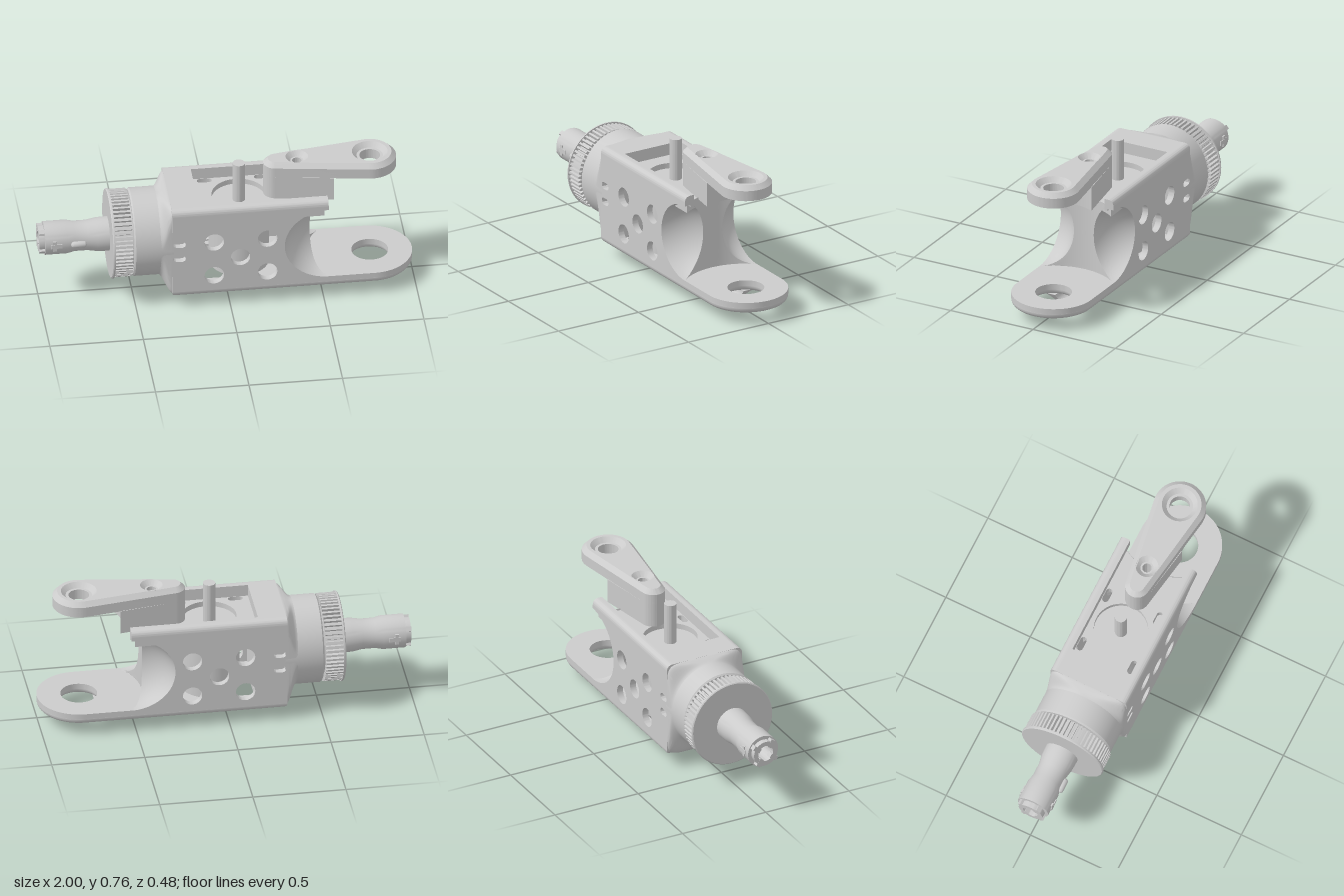
import * as THREE from 'three';
import { toCreasedNormals } from 'three/addons/utils/BufferGeometryUtils.js';

const mat = new THREE.MeshStandardMaterial({ color: 0xcccccc, side: THREE.DoubleSide });
const PIVOT = 0.775, AXIS_Y = 0.355, W = 0.225;

function createModel() {
  const model = new THREE.Group();

  const add = (name, geo) => {
    const mesh = new THREE.Mesh(toCreasedNormals(geo, 0.6), mat);
    mesh.name = name;
    model.add(mesh);
    return mesh;
  };
  const box = (name, x0, x1, y0, y1, z0, z1) => add(name, new THREE.BoxGeometry(x1 - x0, y1 - y0, z1 - z0)
    .translate((x0 + x1) / 2, (y0 + y1) / 2, (z0 + z1) / 2));
  const poly = (pts) => new THREE.Shape(pts.map((p) => new THREE.Vector2(...p)));
  const circle = (x, y, r) => new THREE.Path().absarc(x, y, r, 0, Math.PI * 2, true);
  const slot = (x, y, w, h) => {
    const r = h / 2, d = w / 2 - r, p = new THREE.Path();
    p.absarc(x + d, y, r, -Math.PI / 2, Math.PI / 2);
    p.absarc(x - d, y, r, Math.PI / 2, Math.PI * 1.5);
    return p.closePath();
  };
  // Flat slab drawn in x/z, with optional rounded or chamfered edges
  const slab = (name, shape, y0, y1, bevel = 0, steps = 1) => add(name, new THREE.ExtrudeGeometry(shape, {
    depth: y1 - y0 - 2 * bevel, curveSegments: 32, bevelEnabled: bevel > 0,
    bevelThickness: bevel, bevelSize: bevel, bevelOffset: -bevel, bevelSegments: steps,
  }).rotateX(Math.PI / 2).translate(0, y1 - bevel, 0));
  // Profile drawn in z/y, swept along x
  const sweepX = (name, shape, x0, x1) => add(name, new THREE.ExtrudeGeometry(shape, {
    depth: x1 - x0, bevelEnabled: false, curveSegments: 24,
  }).rotateY(Math.PI / 2).translate(x0, 0, 0));
  // Turned part about the long axis, points as [radius, x]
  const turned = (name, pts, seg = 64) => add(name, new THREE.LatheGeometry(
    pts.map((p) => new THREE.Vector2(...p)), seg).rotateZ(-Math.PI / 2).translate(0, AXIS_Y, 0));

  // Surface through rows of points
  const loft = (name, rows) => {
    const n = rows[0].length, index = [];
    for (let i = 0; i < rows.length - 1; i++) for (let j = 0; j < n - 1; j++) {
      const a = i * n + j, b = a + n;
      index.push(a, b, a + 1, b, b + 1, a + 1);
    }
    const geo = new THREE.BufferGeometry();
    geo.setAttribute('position', new THREE.Float32BufferAttribute(rows.flat(2), 3));
    geo.setIndex(index);
    return add(name, geo);
  };

  // Concave fork end with a scoop on each side
  const R = 0.335, scoopY = (t) => 0.3425 + 0.2125 * Math.cos(t);
  const endX = (z) => PIVOT - Math.sqrt(R * R - z * z);
  const rimX = (t) => endX(W) - 0.235 * Math.sin(t);
  const rows = [];
  for (let i = 0; i <= 40; i++) {
    const t = Math.PI * i / 40, zb = W - 0.165 * Math.sin(t), half = [];
    const a = [rimX(t), W], b = [endX(zb), zb];
    const c = [(a[0] * 3 + b[0]) / 4, (b[1] * 3 + a[1]) / 4];
    for (let k = 0; k <= 14; k++) {
      const u = k / 14, q = [0, 1].map((m) => (1 - u) ** 2 * a[m] + 2 * u * (1 - u) * c[m] + u * u * b[m]);
      half.push([q[0], scoopY(t), q[1]]);
    }
    for (let k = 1; k <= 6; k++) {
      const z = zb * (1 - k / 6);
      half.push([endX(z), scoopY(t), z]);
    }
    const mirrored = half.slice(0, -1).reverse().map(([x, y, z]) => [x, y, -z]);
    rows.push([...half, ...mirrored]);
  }
  loft('scoopedEnd', rows);

  // Side walls with round holes, slots and the scoop outline
  const outline = [[-0.31, 0.1], [endX(W), 0.1]];
  for (let i = 40; i >= 0; i--) outline.push([rimX(Math.PI * i / 40), scoopY(Math.PI * i / 40)]);
  outline.push([endX(W), 0.575], [-0.31, 0.575]);
  const wall = poly(outline);
  for (const [x, y] of [[-0.085, 0.4], [0.2, 0.4], [0.055, 0.295], [-0.085, 0.19], [0.2, 0.19]])
    wall.holes.push(circle(x, y, 0.052));
  for (const y of [0.4, 0.31]) wall.holes.push(slot(-0.27, y, 0.066, 0.038));
  for (const s of [1, -1]) {
    add('sideWall', new THREE.ExtrudeGeometry(wall, { depth: 0.035, bevelEnabled: false, curveSegments: 24 })
      .translate(0, 0, s > 0 ? 0.19 : -W));
    // Rounded top rail
    const rail = new THREE.Shape();
    rail.moveTo(s * 0.17, 0.545);
    rail.lineTo(s * 0.19, 0.545);
    rail.lineTo(s * 0.19, 0.575);
    rail.lineTo(s * W, 0.575);
    rail.quadraticCurveTo(s * W, 0.61, s * 0.19, 0.61);
    rail.lineTo(s * 0.17, 0.61);
    sweepX('topRail', rail, -0.31, endX(W));
  }

  // Recessed deck, round seat and gearbox
  const deck = new THREE.Shape();
  deck.moveTo(-0.17, -0.2);
  deck.lineTo(endX(0.2), -0.2);
  const da = Math.asin(0.2 / R);
  deck.absarc(PIVOT, 0, R, Math.PI + da, Math.PI - da, true);
  deck.lineTo(-0.17, 0.2);
  deck.holes.push(circle(0.075, 0, 0.145));
  for (const z of [-0.15, 0.15]) for (const x of [-0.09, 0.215]) deck.holes.push(slot(x, z, 0.08, 0.035));
  slab('deck', deck, 0.505, 0.545);
  add('gearbox', new THREE.CylinderGeometry(0.16, 0.16, 0.385, 48).translate(0.075, 0.3225, 0));
  add('pin', new THREE.CylinderGeometry(0.033, 0.033, 0.25, 32).translate(0.075, 0.62, 0));
  box('endBlock', -0.31, -0.16, 0.1, 0.61, -0.19, 0.19);

  // Lower arm and floor
  const lowerArm = (hole) => {
    const s = new THREE.Shape();
    s.moveTo(-0.31, -W);
    s.lineTo(PIVOT, -W);
    s.absarc(PIVOT, 0, W, -Math.PI / 2, Math.PI / 2);
    s.lineTo(-0.31, W);
    s.closePath();
    s.holes.push(circle(PIVOT, 0, hole),
      poly([[-0.15, -0.16], [-0.15, 0.16], [0.06, 0.16], [0.06, -0.16]]));
    return s;
  };
  slab('lowerArm', lowerArm(0.1), 0.067, 0.13, 0.03, 5);
  slab('lowerArmTop', lowerArm(0.098), 0.098, 0.1305);

  // Half-round cable guide underneath
  const guide = new THREE.Shape();
  guide.moveTo(-0.115, 0.07);
  guide.quadraticCurveTo(-0.08, 0.065, -0.055, 0.035);
  guide.quadraticCurveTo(-0.03, 0, 0, 0);
  guide.quadraticCurveTo(0.03, 0, 0.055, 0.035);
  guide.quadraticCurveTo(0.08, 0.065, 0.115, 0.07);
  guide.lineTo(0.04, 0.07);
  guide.absarc(0, 0.067, 0.04, 0, Math.PI, true);
  const guideGeo = sweepX('cableGuide', guide, 0.27, 0.69).geometry, gp = guideGeo.attributes.position;
  for (let i = 0; i < gp.count; i++)
    if (gp.getX(i) > 0.5) gp.setX(i, 0.645 + 0.045 * gp.getY(i) / 0.07);
  guideGeo.computeVertexNormals();

  // Upper arm: teardrop head on a pedestal
  const headR = 0.14, tipX = 0.27, tipR = 0.065;
  const lean = Math.acos((headR - tipR) / (PIVOT - tipX));
  const teardrop = (bore, smallBore) => {
    const s = new THREE.Shape();
    s.absarc(PIVOT, 0, headR, -Math.PI + lean, Math.PI - lean);
    s.absarc(tipX, 0, tipR, Math.PI - lean, Math.PI + lean);
    s.closePath();
    s.holes.push(circle(PIVOT, 0, bore), circle(0.385, 0, smallBore));
    return s;
  };
  slab('upperArm', teardrop(0.07, 0.035), 0.68, 0.76, 0.025);
  slab('upperArmBase', teardrop(0.055, 0.025), 0.678, 0.735);
  const cutR = 0.235, cutA = 0.51;
  const pedestal = new THREE.Shape();
  pedestal.absarc(tipX, 0, tipR, Math.PI - lean, Math.PI + lean);
  pedestal.absarc(PIVOT, 0, cutR, Math.PI + cutA, Math.PI - cutA, true);
  pedestal.closePath();
  pedestal.holes.push(circle(0.385, 0, 0.025));
  slab('pedestal', pedestal, 0.545, 0.68);

  // Shoulder blending the square body into the round collar
  const ring = (x, k) => Array.from({ length: 97 }, (_, i) => {
    const a = i / 96 * Math.PI * 2, c = Math.cos(a), s = Math.sin(a), e = 0.22;
    const sq = [W * Math.sign(c) * Math.abs(c) ** e, 0.3385 + 0.2715 * Math.sign(s) * Math.abs(s) ** e];
    const rd = [W * c, AXIS_Y + 0.24 * s];
    return [x, sq[1] + (rd[1] - sq[1]) * k, sq[0] + (rd[0] - sq[0]) * k];
  });
  loft('shoulder', Array.from({ length: 9 }, (_, i) => {
    const u = i / 8;
    return ring(-0.305 - 0.065 * u, u * u * (3 - 2 * u));
  }));
  const collar = turned('collar', [[0, -0.51], [0.232, -0.51], [0.24, -0.502], [0.24, -0.3], [0, -0.3]]);
  collar.scale.z = 0.94;

  // Toothed pulley with outer flange
  const teeth = 60, gear = [];
  for (let i = 0; i < teeth; i++) for (const [f, r] of [[0, 0.217], [0.3, 0.217], [0.42, 0.235], [0.88, 0.235]]) {
    const a = (i + f) / teeth * Math.PI * 2;
    gear.push([r * Math.cos(a), AXIS_Y + r * Math.sin(a)]);
  }
  sweepX('pulley', poly(gear), -0.615, -0.518);
  turned('pulleyFlange', [[0, -0.625], [0.236, -0.625], [0.241, -0.62], [0.241, -0.612], [0, -0.612]]);
  turned('pulleyHub', [[0.2, -0.53], [0.2, -0.5]]);

  // Hollow stepped shaft
  turned('shaft', [[0.045, -0.62], [0.045, -1], [0.07, -1], [0.07, -0.97], [0.09, -0.97], [0.09, -0.85],
    [0.081, -0.81], [0.081, -0.74], [0.09, -0.69], [0.093, -0.61]], 48);
  add('shaftKey', new THREE.CapsuleGeometry(0.018, 0.05, 6, 16).rotateZ(Math.PI / 2)
    .translate(-0.79, AXIS_Y, 0.085));
  for (let i = 0; i < 4; i++) {
    const a = i * Math.PI / 2 + 0.6;
    const lug = new THREE.BoxGeometry(0.035, 0.025, 0.045).translate(-0.983, 0, 0.06);
    add('bayonetLug', lug.rotateX(a).translate(0, AXIS_Y, 0));
  }
  for (const s of [1, -1]) {
    box('latchBar', -0.94, -0.88, AXIS_Y - 0.012, AXIS_Y + 0.012, s * 0.089 - 0.005, s * 0.089 + 0.005);
    box('latchCross', -0.93, -0.91, AXIS_Y - 0.03, AXIS_Y + 0.03, s * 0.087 - 0.006, s * 0.087 + 0.006);
  }
  return model;
}

export { createModel };
